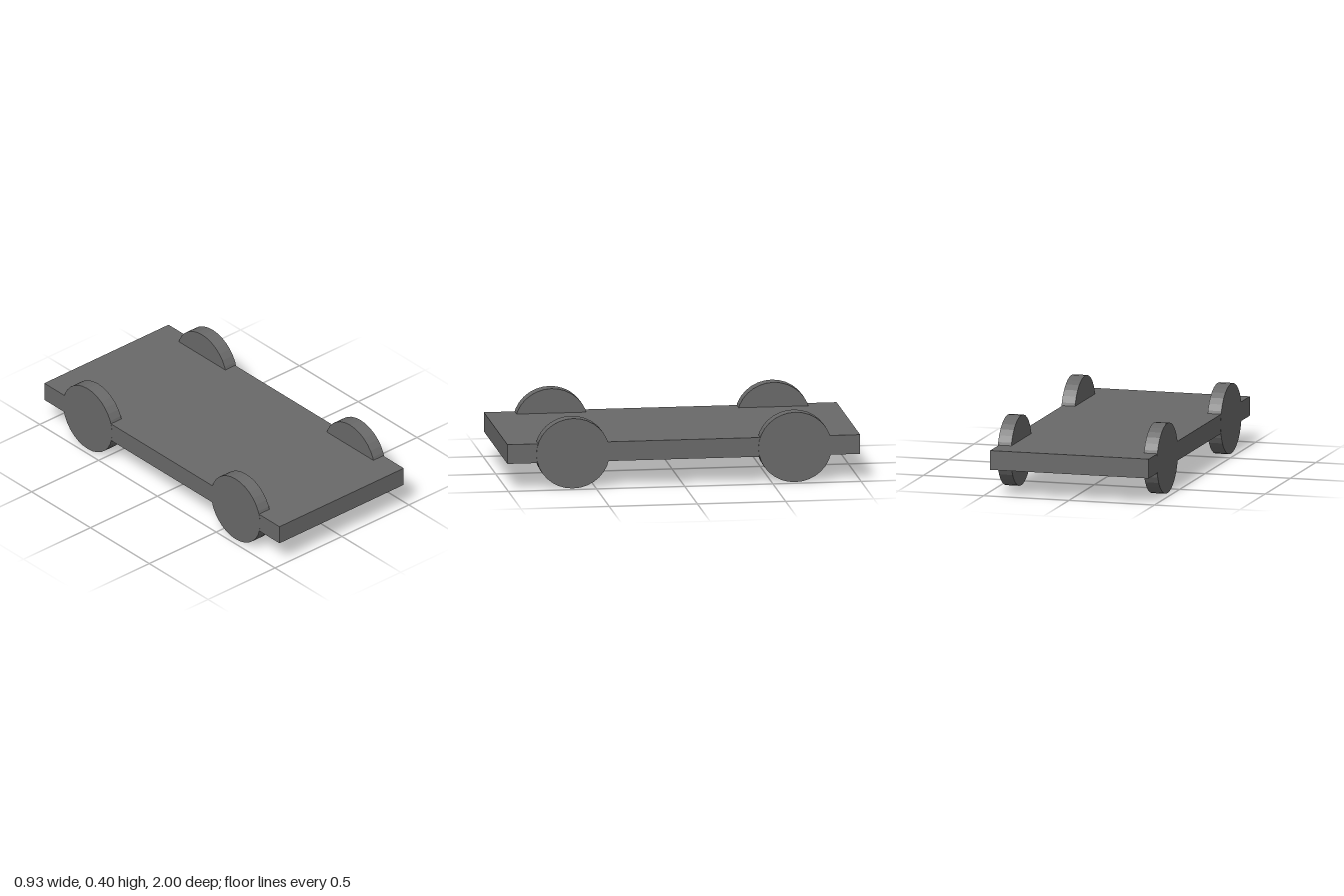
import * as THREE from 'three';

export function createModel() {
  const model = new THREE.Group();
  const material = new THREE.MeshStandardMaterial({ color: 0x696969, flatShading: true });

  // Flat deck, set slightly towards the right wheels
  const deck = new THREE.Mesh(new THREE.BoxGeometry(0.928, 0.11, 2), material);
  deck.name = 'deck';
  deck.position.set(-0.0025, 0.205, 0);
  model.add(deck);

  // Four slightly oval disc wheels sunk into the deck edges
  const wheelGeometry = new THREE.CylinderGeometry(0.2, 0.2, 0.079, 32);
  wheelGeometry.rotateZ(Math.PI / 2).scale(1, 1, 1.04);
  for (const [side, x] of [['Left', 0.4275], ['Right', -0.4275]]) {
    for (const [end, z] of [['front', 0.628], ['back', -0.631]]) {
      const wheel = new THREE.Mesh(wheelGeometry, material);
      wheel.name = `${end}${side}Wheel`;
      wheel.position.set(x, 0.2, z);
      model.add(wheel);
    }
  }
  return model;
}
